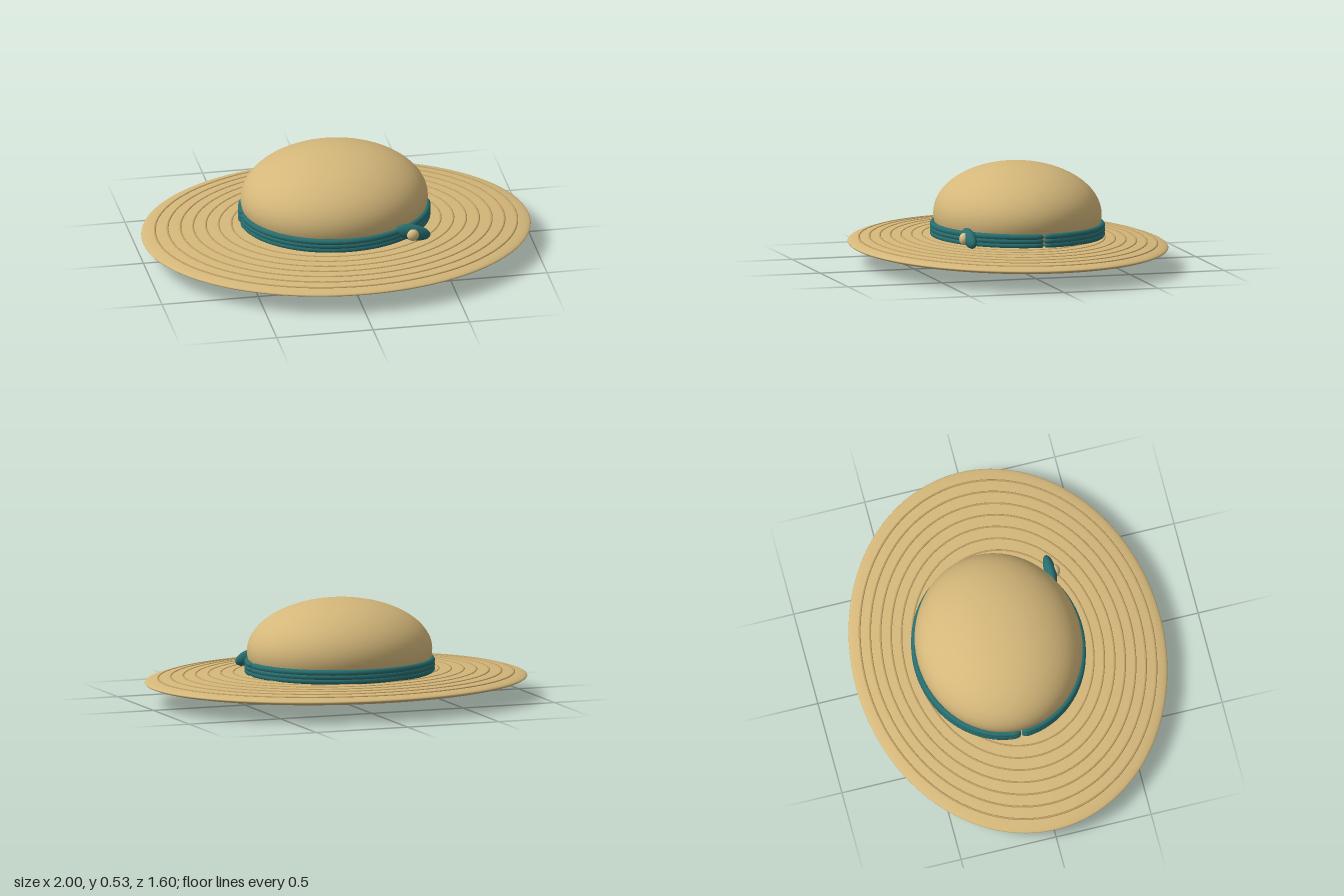
import * as THREE from 'three';

export function createModel() {
  const hat = new THREE.Group();
  hat.name = 'sunHat';
  const mat = (name, color) => {
    const m = new THREE.MeshStandardMaterial({ color });
    m.name = name;
    return m;
  };
  const straw = mat('straw', 0xd4b77a);
  const weave = mat('weaveStraw', 0xbb9c63);
  const teal = mat('tealRibbon', 0x286e6f);
  const cream = mat('paleStraw', 0xdabf86);

  const add = (name, geometry, material, x = 0, y = 0, z = 0) => {
    const mesh = new THREE.Mesh(geometry, material);
    mesh.name = name;
    mesh.position.set(x, y, z);
    hat.add(mesh);
    return mesh;
  };
  const ellipsoid = (rx, ry, rz, w = 64, h = 40) => new THREE.SphereGeometry(1, w, h).scale(rx, ry, rz);

  // Elliptical arc in the horizontal plane
  const arcTube = (rx, rz, start, end, radius, closed = false) => {
    const points = [];
    const n = closed ? 64 : 40;
    for (let i = 0; i < (closed ? n : n + 1); i++) {
      const a = start + (end - start) * i / n;
      points.push(new THREE.Vector3(Math.cos(a) * rx, 0, Math.sin(a) * rz));
    }
    return new THREE.TubeGeometry(new THREE.CatmullRomCurve3(points, closed), closed ? 128 : 80, radius, 10, closed);
  };

  // Crown and flat lens-shaped brim
  add('crown', ellipsoid(0.48, 0.265, 0.425), straw, 0, 0.265, -0.05);
  add('brim', ellipsoid(1, 0.054, 0.8, 128, 48), straw, 0, 0.108, 0);

  // Concentric woven rings half sunk into the brim
  for (let i = 0; i < 7; i++) {
    const f = 0.93 - i * 0.0655;
    const y = 0.108 + 0.051 * Math.sqrt(1 - f * f);
    add('brimRing', arcTube(f, f * 0.8, 0, Math.PI * 2, 0.0055, true), weave, 0, y, 0);
  }

  // Ribbon: three stacked cords, each in a front and a back half with tapered ends
  const rx = 0.477, rz = 0.427, r = 0.016, gap = 0.085;
  for (const y of [0.165, 0.187, 0.209]) {
    for (const start of [0, Math.PI]) {
      const a = start + gap, b = start + Math.PI - gap;
      add('ribbonCord', arcTube(rx, rz, a, b, r), teal, 0, y, -0.05);
      for (const e of [a, b]) {
        add('ribbonCordEnd', ellipsoid(r, r, 0.035, 14, 12), teal,
          Math.cos(e) * rx, y, -0.05 + Math.sin(e) * rz);
      }
    }
  }

  // Slanted bow with a pale button
  const bow = add('bow', ellipsoid(0.094, 0.042, 0.03, 32, 20), teal, 0.34, 0.198, 0.307);
  bow.rotation.z = -0.27;
  add('bowButton', ellipsoid(0.031, 0.031, 0.024, 24, 16), cream, 0.335, 0.195, 0.334);

  return hat;
}
